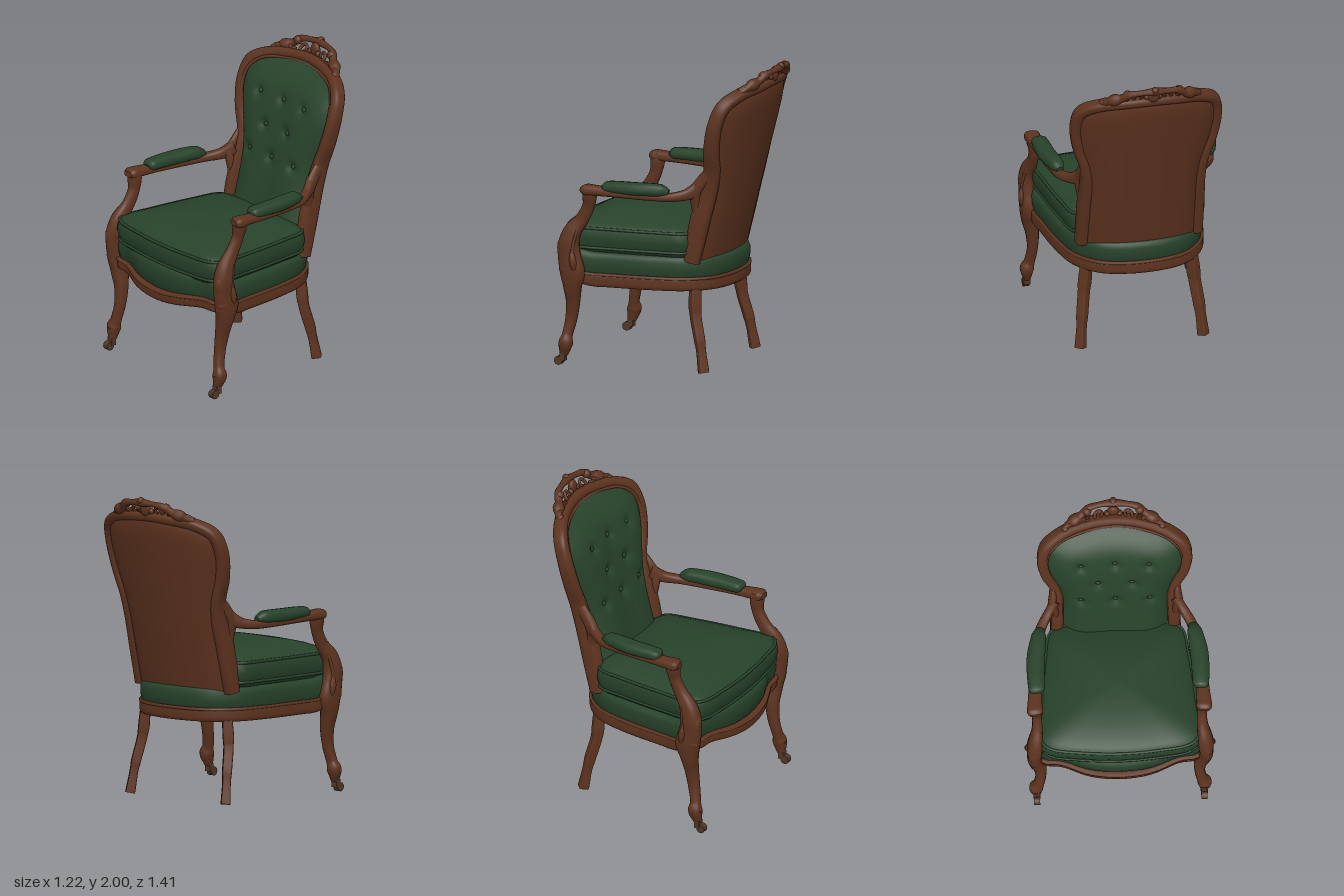
import * as THREE from 'three';

const V = (x, y, z) => new THREE.Vector3(x, y, z);
const wood = new THREE.MeshStandardMaterial({ color: 0x5d331f });
wood.name = 'walnut wood';
const green = new THREE.MeshStandardMaterial({ color: 0x27422a });
green.name = 'green upholstery';
const metal = new THREE.MeshStandardMaterial({ color: 0x513728 });
metal.name = 'caster metal';

const UP = V(0, 1, 0), FRONT = V(0, 0, 1), TILT = V(0, 0.25, 1).normalize();

// Skin a list of rings; optional loop closure, otherwise flat end caps
function loft(rings, loop = false) {
  const m = rings[0].length, n = rings.length, pos = [], idx = [];
  rings.forEach(r => r.forEach(p => pos.push(p.x, p.y, p.z)));
  for (let i = 0; i < (loop ? n : n - 1); i++) for (let j = 0; j < m; j++) {
    const a = i * m + j, b = i * m + (j + 1) % m, k = ((i + 1) % n) * m;
    const c = k + j, d = k + (j + 1) % m;
    idx.push(a, b, c, b, d, c);
  }
  if (!loop) [rings[0], rings[n - 1]].forEach((r, end) => {
    const start = pos.length / 3, mid = V(0, 0, 0);
    r.forEach(p => { pos.push(p.x, p.y, p.z); mid.addScaledVector(p, 1 / m); });
    pos.push(mid.x, mid.y, mid.z);
    for (let j = 0; j < m; j++) {
      const a = start + j, b = start + (j + 1) % m;
      idx.push(start + m, end ? a : b, end ? b : a);
    }
  });
  return finish(pos, idx);
}

function finish(pos, idx) {
  const g = new THREE.BufferGeometry();
  g.setAttribute('position', new THREE.Float32BufferAttribute(pos, 3));
  g.setIndex(idx);
  g.computeVertexNormals();
  return g;
}

// Sweep a (super)ellipse through stations [x, y, z, halfWidth, halfDepth]
function sweep(st, ref, { steps = 40, sides = 14, power = 1, loop = false } = {}) {
  const path = new THREE.CatmullRomCurve3(st.map(s => V(s[0], s[1], s[2])), loop);
  const size = new THREE.CatmullRomCurve3(st.map(s => V(s[3], s[4], 0)), loop);
  const f = c => Math.sign(c) * Math.abs(c) ** power, rings = [];
  for (let i = 0; i < (loop ? steps : steps + 1); i++) {
    const t = i / steps, p = path.getPoint(t), T = path.getTangent(t), q = size.getPoint(t);
    const S = ref.clone().cross(T).normalize(), N = T.clone().cross(S), ring = [];
    for (let j = 0; j < sides; j++) {
      const a = (j + 0.5) / sides * Math.PI * 2;
      ring.push(p.clone().addScaledVector(S, q.x * f(Math.cos(a))).addScaledVector(N, q.y * f(Math.sin(a))));
    }
    rings.push(ring);
  }
  return loft(rings, loop);
}

function sheet(fn, n, flip) {
  const pos = [], idx = [];
  for (let i = 0; i <= n; i++) for (let j = 0; j <= n; j++) pos.push(...fn(j / n * 2 - 1, i / n));
  for (let i = 0; i < n; i++) for (let j = 0; j < n; j++) {
    const a = i * (n + 1) + j, b = a + 1, c = a + n + 1, d = c + 1;
    if (flip) idx.push(a, c, b, b, c, d); else idx.push(a, b, c, b, d, c);
  }
  return finish(pos, idx);
}

// Mirror a half profile that ends on x = 0
const mirror = half => [...half, ...half.slice(0, -1).reverse().map(([x, ...r]) => [-x, ...r])];
const plan = half => {
  const pts = [...half, ...half.slice(1, -1).reverse().map(([x, z]) => [-x, z])];
  return new THREE.CatmullRomCurve3(pts.map(([x, z]) => V(x, 0, z)), true).getSpacedPoints(96).slice(0, 96);
};
// Plan outline stacked in layers [y, scale], with a height rule
const slab = (outline, layers, lift = () => 0) => loft(layers.map(([y, s]) =>
  outline.map(p => V(p.x * s, y + lift(p), (p.z - 0.2) * s + 0.2))));

// The back leans rearward and curves forward at both sides
const backZ = (x, y) => -0.365 - 0.25 * (y - 0.745) + 0.55 * x * x;
const widths = new THREE.SplineCurve([[0, .36], [.25, .355], [.42, .355], [.55, .375], [.7, .42], [.83, .447], [.94, .442], [1, .375]]
  .map(p => new THREE.Vector2(...p)));
function halfWidth(v) {
  let lo = 0, hi = 1;
  for (let i = 0; i < 20; i++) { const m = (lo + hi) / 2; if (widths.getPoint(m).x < v) lo = m; else hi = m; }
  return widths.getPoint(lo).y;
}
const backHeight = x => 1.165 - 0.41 * x * x;
const backPoint = (u, v) => {
  const x = u * halfWidth(v);
  return [x, 0.7 + v * backHeight(x)];
};
const buttons = [[-.22, 1.64], [0, 1.64], [.22, 1.64], [-.11, 1.455], [.11, 1.455], [-.22, 1.27], [0, 1.27], [.22, 1.27]];

export function createModel() {
  const model = new THREE.Group();
  const add = (name, geo, mat) => {
    const m = new THREE.Mesh(geo, mat);
    m.name = name;
    model.add(m);
    return m;
  };
  const ball = (name, x, y, z, rx, ry, rz, mat = wood) => {
    const m = add(name, new THREE.SphereGeometry(1, 16, 12), mat);
    m.position.set(x, y, z);
    m.scale.set(rx, ry, rz);
    return m;
  };

  // Seat: rail, underside, sprung base
  const seat = plan([[0, .685], [.2, .665], [.38, .6], [.5, .58], [.53, .52], [.51, .3], [.47, 0], [.41, -.2], [.27, -.345], [0, -.4]]);
  const frontness = p => THREE.MathUtils.smoothstep(p.z, 0.4, 0.6);
  const railLift = p => frontness(p) * (-.005 + .035 * (1 - Math.cos(Math.min(1, Math.abs(p.x) / 0.45) * Math.PI)) / 2);
  add('seatRail', sweep(seat.map(p => [p.x * .975, .575 + railLift(p), (p.z - .2) * .975 + .2, .024, .045 - .007 * frontness(p)]), UP,
    { steps: 192, sides: 12, power: 0.6, loop: true }), wood);
  add('railBead', sweep(seat.map(p => [p.x, .61 + railLift(p) - .01 * frontness(p), p.z, .012 + .006 * frontness(p), .012]), UP,
    { steps: 192, sides: 8, loop: true }), wood);
  add('seatUnderside', slab(seat, [[.545, .965], [.565, .965]], railLift), wood);
  add('seatBase', slab(seat, [[.575, .95], [.61, .985], [.66, 1.005], [.71, 1.005], [.738, .985], [.75, .94], [.765, .8]],
    p => 0.03 * frontness(p)), green);

  // Loose domed cushion with piping
  const cushion = plan([[0, .655], [.25, .64], [.45, .605], [.505, .55], [.495, .3], [.46, 0], [.42, -.19], [.32, -.235], [0, -.25]]);
  add('cushion', slab(cushion, [[.735, .9], [.755, .97], [.785, 1], [.84, 1.03], [.885, 1.02], [.91, 1],
    [.932, .93], [.958, .8], [.98, .62], [.997, .4], [1.004, .2], [1.006, .05]]), green);
  for (const y of [.78, .908])
    add('cushionPiping', sweep(cushion.map(p => [p.x, y, p.z, .01, .01]), UP, { steps: 144, sides: 8, loop: true }), green);

  // Tufted back and its rear panel
  const tufted = (u, v) => {
    const [x, y] = backPoint(u, v);
    let d = 0.06 + 0.185 * (1 - v ** 14) * (1 - Math.abs(u) ** 4);
    for (const [bx, by] of buttons) d -= 0.03 * Math.exp(-((x - bx) ** 2 + (y - by) ** 2) / 0.0014);
    return [x, y, backZ(x, y) + d];
  };
  add('backUpholstery', sheet(tufted, 72, false), green);
  add('backPanel', sheet((u, v) => {
    const [x, y] = backPoint(u, v);
    return [x, y, backZ(x, y) + 0.025 - 0.033 * (1 - u ** 8) * (1 - v ** 24)];
  }, 48, true), wood);
  for (const [x, y] of buttons) {
    const v = (y - 0.7) / backHeight(x);
    ball('button', x, y, tufted(x / halfWidth(v), v)[2] + .003, .017, .017, .01, green);
  }

  // Back frame [x, y, half width, centre and half depth], with a bead around the upholstery
  const frame = [[.378, .72, .042, .052], [.375, 1, .042, .067], [.372, 1.2, .04, .062], [.39, 1.33, .036, .055],
    [.44, 1.48, .036, .051], [.463, 1.65, .036, .048], [.435, 1.77, .036, .046], [.33, 1.832, .034, .044],
    [.17, 1.858, .031, .043], [0, 1.868, .03, .043]];
  add('backFrame', sweep(mirror(frame.map(([x, y, w, d]) => [x, y, backZ(x, y) + d, w, d])), TILT, { steps: 120, power: 0.7 }), wood);
  add('frameBead', sweep(mirror(frame.map(([x, y, , d], i) => {
    const k = i > 6 ? 1 : .945, yy = y - (i > 5 ? .024 : 0);
    return [x * k, yy, backZ(x * k, yy) + d * 1.9, .011, .012];
  })), TILT, { steps: 120, sides: 8 }), wood);

  // Pierced crest: arch, scrolls and carved beads
  const crestZ = (x, y) => backZ(x, y) + .03 - .4 * (y - 1.87);
  const onBack = (x, y, r, d = 0) => [x, y, crestZ(x, y) + d, r, r];
  add('crestArch', sweep(mirror([[.34, 1.835, .02], [.28, 1.88, .026], [.21, 1.908, .026], [.16, 1.945, .024], [.09, 1.957, .019], [0, 1.962, .026]]
    .map(([x, y, r]) => onBack(x, y, r))), TILT, { steps: 80, sides: 10 }), wood);
  const scroll = (s, cx, cy, r, turns, a0, thick) => {
    const pts = [];
    for (let i = 0; i <= 16; i++) {
      const k = i / 16, a = a0 + k * turns * Math.PI * 2, q = r * (1 - .75 * k);
      pts.push(onBack(s * (cx + q * Math.cos(a)), cy + q * Math.sin(a), thick * (1 - .3 * k), .015));
    }
    add('crestScroll', sweep(pts, TILT, { steps: 48, sides: 8 }), wood);
  };
  for (const s of [1, -1]) {
    scroll(s, .09, 1.905, .042, 1.1, -2.4, .013);
    scroll(s, .2, 1.88, .034, 1.3, 2.6, .018);
    scroll(s, .285, 1.86, .03, 1.3, .4, .016);
    for (const [x, y, r] of [[.17, 1.937, .03], [.245, 1.89, .028], [.31, 1.86, .027], [.04, 1.905, .02]])
      ball('crestLeaf', s * x, y, crestZ(x, y) + .01, r, r, r);
  }
  ball('crestBoss', 0, 1.92, crestZ(0, 1.92) + .01, .04, .05, .025);
  ball('crestFinial', 0, 1.975, crestZ(0, 1.975), .024, .023, .025);

  // Paired parts: legs, arm supports, arms, pads, casters
  for (const s of [1, -1]) {
    const side = st => st.map(([x, ...r]) => [s * x, ...r]);
    add('frontLegAndArmSupport', sweep(side([
      [.535, .07, .6, .022, .028], [.54, .15, .585, .045, .045], [.525, .2, .58, .035, .033], [.51, .3, .56, .034, .038],
      [.515, .42, .545, .043, .045], [.535, .52, .54, .05, .06], [.548, .62, .535, .05, .085], [.55, .72, .555, .047, .078],
      [.548, .8, .56, .052, .07], [.542, .88, .54, .046, .06], [.53, .97, .475, .033, .045], [.53, 1.06, .43, .033, .04],
      [.535, 1.13, .42, .045, .045], [.54, 1.185, .42, .045, .04]]), FRONT, { steps: 70, power: 0.85 }), wood);
    // Square rear legs, set diagonally
    add('rearLeg', sweep(side([[.405, .006, -.322, .031, .031], [.387, .2, -.288, .031, .031], [.364, .38, -.246, .032, .032],
      [.345, .57, -.238, .032, .032]]), V(s, 0, -1), { power: 0.3, sides: 20 }), wood);
    add('arm', sweep(side([[.54, 1.17, .47, .035, .02], [.542, 1.17, .44, .052, .035], [.54, 1.168, .35, .045, .032],
      [.53, 1.16, .2, .04, .025], [.508, 1.155, 0, .036, .025], [.487, 1.157, -.12, .033, .028],
      [.44, 1.172, -.21, .03, .035], [.385, 1.21, -.29, .03, .06]]), UP, { steps: 48, power: 0.8 }), wood);
    add('armPad', sweep(side([[.525, 1.19, .325, .03, .015], [.527, 1.197, .3, .053, .036], [.525, 1.2, .1, .06, .042],
      [.5, 1.2, -.06, .048, .04], [.49, 1.19, -.115, .025, .018]]), UP, { steps: 36, power: 0.85 }), green);
    // Flare joining the arm to the back post
    add('armBracket', sweep(side([[.38, .95, -.29, .025, .03], [.388, 1.09, -.265, .03, .035], [.405, 1.19, -.265, .03, .04],
      [.4, 1.27, -.315, .025, .04], [.395, 1.36, -.385, .02, .03]]), FRONT, { steps: 24 }), wood);

    // Carving on the knee and arm end
    ball('kneeLeaf', s * .556, .76, .58, .04, .095, .055).rotation.x = .15;
    ball('kneeScroll', s * .562, .64, .56, .035, .05, .062);
    ball('armKnuckle', s * .542, 1.165, .425, .053, .036, .045);
    add('kneeRidge', sweep(side([[.575, .53, .54, .006, .006], [.587, .64, .51, .012, .012], [.588, .76, .52, .012, .012],
      [.572, .88, .5, .01, .01], [.55, .97, .47, .006, .006]]), FRONT, { sides: 8 }), wood);
    add('legCollar', new THREE.CylinderGeometry(.045, .03, .04, 16), wood).position.set(s * .54, .13, .588);

    const wheel = add('caster', new THREE.CylinderGeometry(.029, .029, .04, 16), metal);
    wheel.rotation.z = Math.PI / 2;
    wheel.position.set(s * .537, .029, .632);
    add('casterFork', new THREE.BoxGeometry(.045, .05, .035), metal).position.set(s * .537, .055, .605);
  }
  return model;
}
